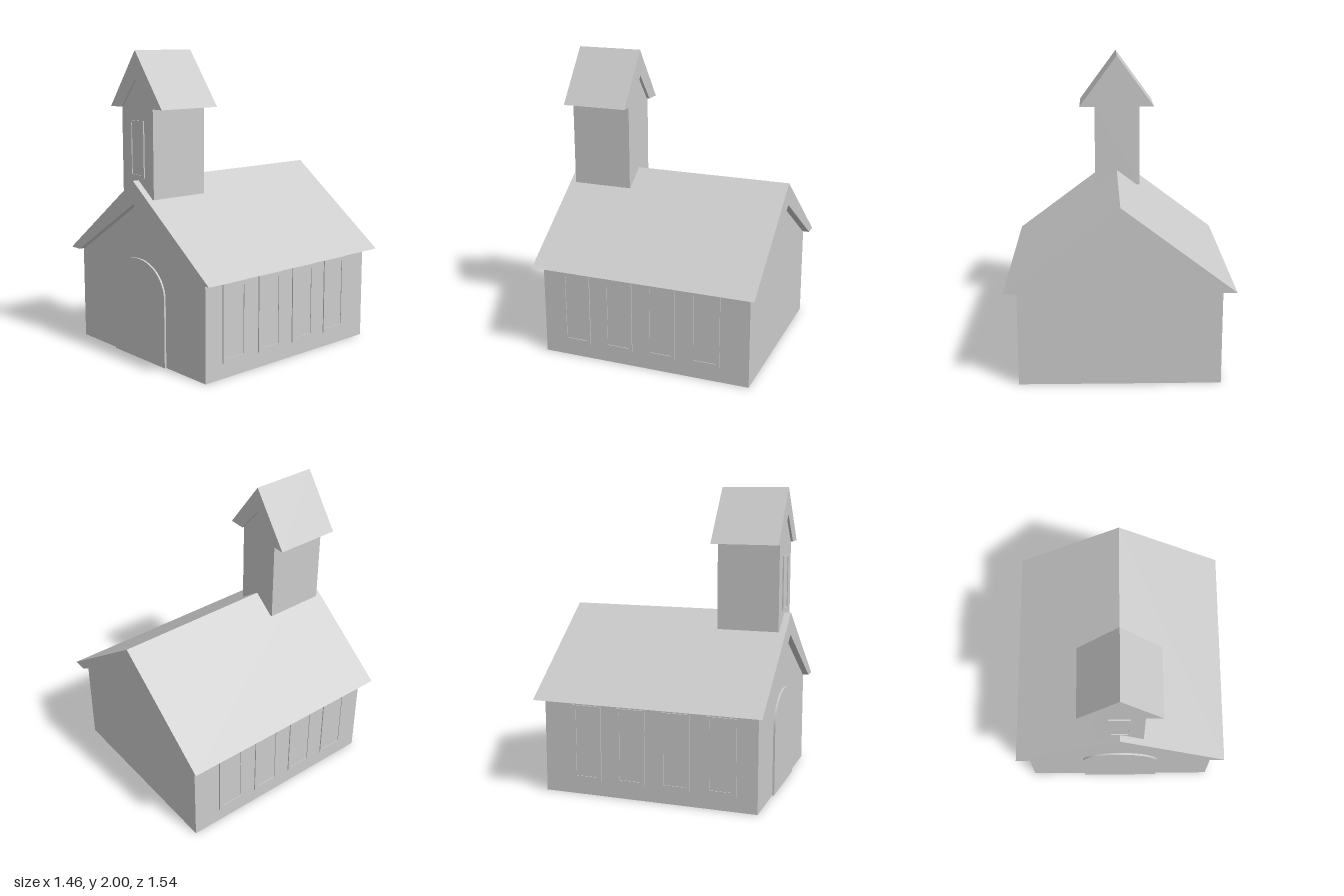
import * as THREE from 'three';

const CX = -0.005; // centre line of the building

export function createModel() {
  const group = new THREE.Group();
  group.name = 'chapel';
  const solid = new THREE.MeshStandardMaterial({ color: 0xcccccc });
  const thin = new THREE.MeshStandardMaterial({ color: 0xcccccc, side: THREE.DoubleSide });

  function add(name, geometry, x = CX, y = 0, z = 0, material = solid, parent = group) {
    const mesh = new THREE.Mesh(geometry, material);
    mesh.name = name;
    mesh.position.set(x, y, z);
    parent.add(mesh);
    return mesh;
  }
  const shapeOf = pts => new THREE.Shape(pts.map(p => new THREE.Vector2(...p)));
  const extrude = (shape, depth) =>
    new THREE.ExtrudeGeometry(shape, { depth, bevelEnabled: false, curveSegments: 24 });

  // Outline of a gabled wall
  const gable = (w, base, eave, apex) =>
    shapeOf([[-w, base], [w, base], [w, eave], [0, apex], [-w, eave]]);
  // Chevron roof with flat eaves
  const chevron = (outer, inner, eave, apex, innerApex) =>
    shapeOf([[-outer, eave], [-inner, eave], [0, innerApex], [inner, eave], [outer, eave], [0, apex]]);
  // Flat frame, standing on y = 0
  function frame(w, h, border, depth) {
    const s = shapeOf([[-w / 2, 0], [w / 2, 0], [w / 2, h], [-w / 2, h]]);
    const a = w / 2 - border;
    s.holes.push(shapeOf([[-a, border], [-a, h - border], [a, h - border], [a, border]]));
    return extrude(s, depth);
  }
  // Arched doorway outline
  function arch(w, spring, rise) {
    const s = new THREE.Shape();
    s.moveTo(-w, 0);
    s.lineTo(w, 0);
    s.lineTo(w, spring);
    s.absellipse(0, spring, w, rise, 0, Math.PI, false);
    s.lineTo(-w, 0);
    return s;
  }

  // Nave: thin walls, open underneath
  const gableWall = new THREE.ShapeGeometry(gable(0.65, 0, 0.63, 1.03));
  add('frontWall', gableWall, CX, 0, 0.727, thin);
  add('backWall', gableWall, CX, 0, -0.722, thin).rotation.y = Math.PI;
  for (const side of [1, -1]) {
    const wall = add(side > 0 ? 'leftWall' : 'rightWall',
      new THREE.PlaneGeometry(1.449, 0.63), CX + side * 0.65, 0.315, 0.0025, thin);
    wall.rotation.y = side * Math.PI / 2;
  }
  add('naveRoof', extrude(chevron(0.732, 0.635, 0.63, 1.18, 1.03), 1.54), CX, 0, -0.77);

  // Windows: panels running through the nave, framed on both sides
  for (let i = 0; i < 4; i++) {
    const z = 0.49 - i * 0.305;
    const win = new THREE.Group();
    win.name = 'sideWindow' + (i + 1);
    group.add(win);
    add('windowPanel', new THREE.BoxGeometry(1.306, 0.5, 0.2), CX, 0.35, z, solid, win);
    for (const side of [1, -1]) {
      const f = add('windowFrame', frame(0.2, 0.5, 0.025, 0.006),
        CX + side * 0.652, 0.1, z, solid, win);
      f.rotation.y = side * Math.PI / 2;
    }
  }

  // Arched entrance
  add('doorSurround', extrude(arch(0.268, 0.45, 0.22), 0.045), CX, 0, 0.695);
  add('door', extrude(arch(0.2, 0.43, 0.17), 0.03), CX, 0, 0.667);

  // Bell tower with its own gabled roof
  add('tower', extrude(gable(0.16, 1.07, 1.64, 1.825), 0.415), CX - 0.003, 0, 0.31);
  add('towerRoof', extrude(chevron(0.265, 0.15, 1.64, 2.0, 1.825), 0.45), CX, 0, 0.29);
  add('towerWindowPanel', new THREE.BoxGeometry(0.14, 0.36, 0.02), CX - 0.003, 1.38, 0.717);
  add('towerWindowFrame', frame(0.14, 0.36, 0.015, 0.006), CX - 0.003, 1.2, 0.727);

  return group;
}
